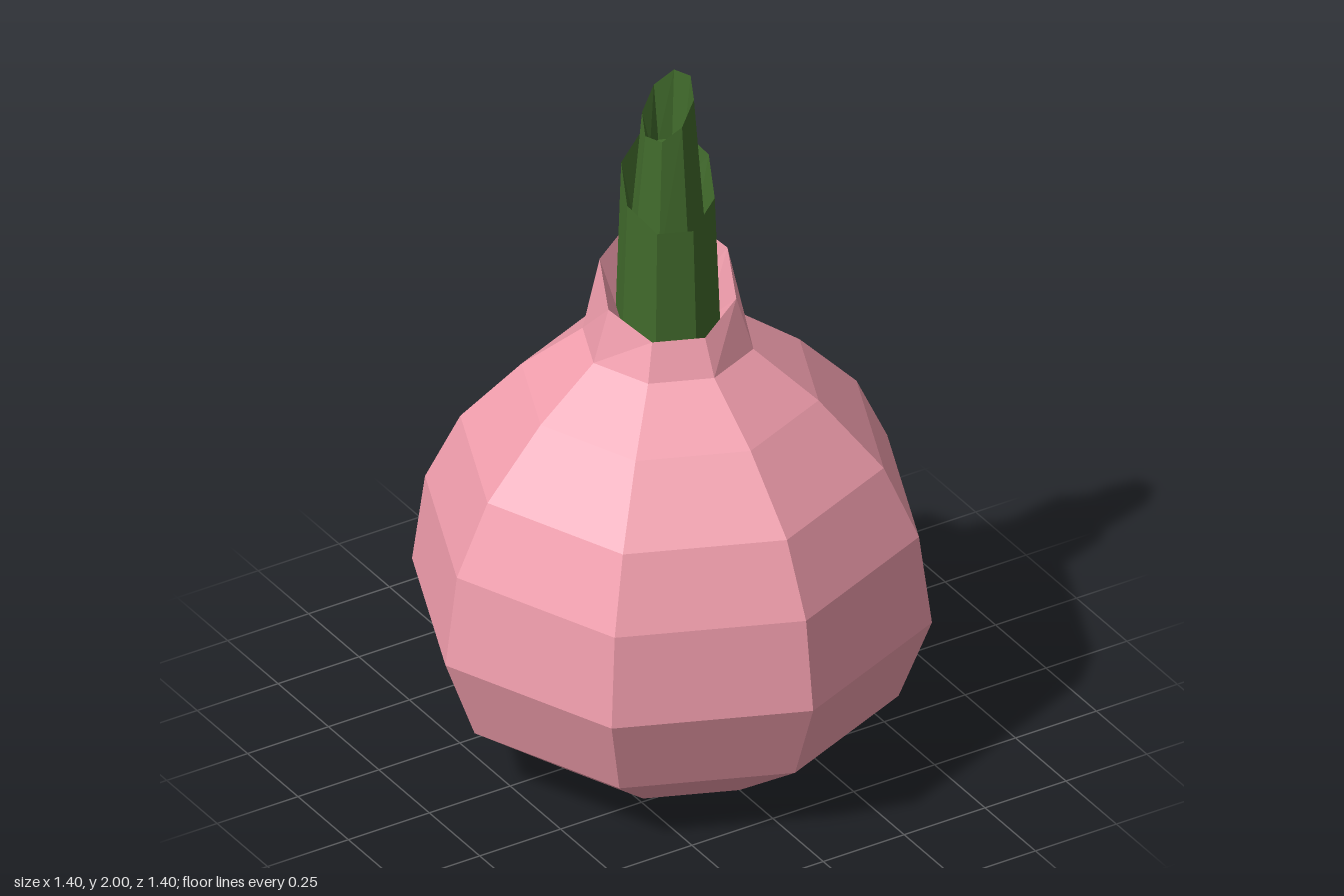
import * as THREE from 'three';

const SIDES = 8;
const pink = new THREE.MeshStandardMaterial({ color: 0xf09dac, flatShading: true, side: THREE.DoubleSide });
const green = new THREE.MeshStandardMaterial({ color: 0x40692b, flatShading: true, side: THREE.DoubleSide });

// Ring of corners: radius, height, z offset, slant amount and the heading of its high side (degrees from front to left)
function ring([r, y, cz = 0, slant = 0, heading = 0]) {
  return Array.from({ length: SIDES }, (_, i) => {
    const a = (i / SIDES) * Math.PI * 2;
    const h = y + slant * Math.cos(a - THREE.MathUtils.degToRad(heading));
    return new THREE.Vector3(r * Math.sin(a), h, r * Math.cos(a) + cz);
  });
}

// Faceted skin through successive rings; a zero radius closes an end
function loft(name, specs, material) {
  const pos = [];
  const tri = (...corners) => corners.forEach((p) => pos.push(p.x, p.y, p.z));
  for (let k = 0; k < specs.length - 1; k++) {
    const a = ring(specs[k]), b = ring(specs[k + 1]);
    for (let i = 0; i < SIDES; i++) {
      const j = (i + 1) % SIDES;
      if (specs[k][0] > 0) tri(a[i], a[j], b[j]);
      if (specs[k + 1][0] > 0) tri(a[i], b[j], b[i]);
    }
  }
  const geometry = new THREE.BufferGeometry();
  geometry.setAttribute('position', new THREE.Float32BufferAttribute(pos, 3));
  geometry.computeVertexNormals();
  const mesh = new THREE.Mesh(geometry, material);
  mesh.name = name;
  return mesh;
}

export function createModel() {
  const group = new THREE.Group();
  group.name = 'onion';
  const cz = -0.02;

  // Round bulb with a flat base
  group.add(loft('bulb', [
    [0, 0], [0.335, 0], [0.61, 0.2], [0.7, 0.44], [0.665, 0.7],
    [0.57, 0.9], [0.4, 1.08, -0.01], [0.23, 1.21, cz],
  ], pink));

  // Slanted collar of skin around the sprout, with its inner wall
  group.add(loft('neck', [
    [0.23, 1.21, cz], [0.184, 1.395, cz, 0.092, 157.5], [0.12, 1.23, cz],
  ], pink));

  // Hollow outer leaf
  group.add(loft('outerLeaf', [
    [0.143, 1.22, cz], [0.126, 1.7, cz, 0.098, 157.5], [0.095, 1.56, cz, 0.05, 157.5],
  ], green));

  // Hollow inner leaf, cut at another angle and closed inside
  group.add(loft('innerLeaf', [
    [0.105, 1.5, cz], [0.07, 1.93, cz, 0.076, 112.5], [0.048, 1.8, cz], [0, 1.8, cz],
  ], green));

  return group;
}
